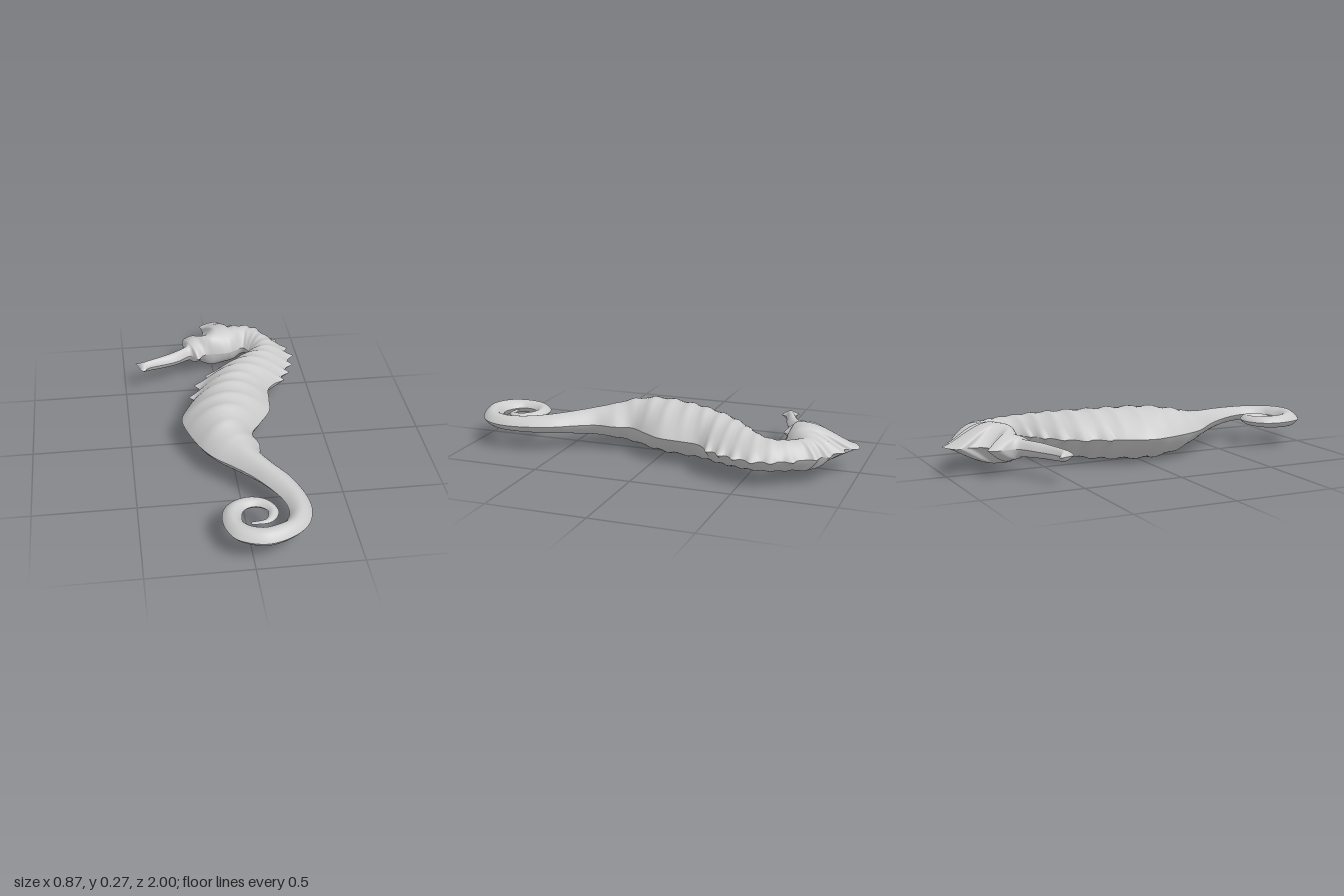
import * as THREE from 'three';

// Cross-section stations: [ventral x, ventral z, dorsal x, dorsal z, half thickness]
const HEAD = [
  [-.41, -.51, -.44, -.60, 0], [-.39, -.51, -.42, -.59, .022], [-.36, -.54, -.38, -.585, .03],
  [-.22, -.58, -.26, -.64, .037], [-.13, -.635, -.165, -.70, .043], [-.09, -.595, -.165, -.79, .055],
  [-.06, -.63, -.14, -.84, .068], [-.03, -.64, -.115, -.815, .08], [0, -.64, -.065, -.82, .09],
  [.03, -.64, -.035, -.89, .098], [.06, -.64, -.045, -.96, .1], [.08, -.645, .02, -1, .1],
  [.10, -.65, .06, -.995, .097], [.12, -.665, .08, -.94, .092], [.14, -.675, .135, -.95, .086],
  [.155, -.685, .165, -.905, .08], [.17, -.69, .225, -.90, .078], [.18, -.68, .24, -.86, .076],
  [.185, -.67, .285, -.85, .077], [.19, -.66, .295, -.81, .075],
];
const BODY = [
  [.195, -.64, .34, -.74, .077], [.18, -.60, .385, -.655, .08], [.12, -.54, .405, -.57, .088],
  [.05, -.49, .385, -.48, .1], [-.03, -.42, .355, -.40, .112], [-.10, -.33, .315, -.325, .122],
  [-.14, -.22, .25, -.25, .13], [-.19, -.13, .235, -.15, .135], [-.235, -.02, .22, -.04, .137],
  [-.22, .09, .16, .06, .135], [-.17, .23, .105, .15, .115], [-.11, .33, .125, .24, .088],
  [-.02, .42, .125, .335, .07],
];
const TAIL = [
  [.06, .51, .175, .435, .058], [.135, .625, .235, .53, .048], [.175, .715, .28, .66, .041],
  [.18, .80, .29, .78, .038], [.145, .86, .255, .885, .038], [.10, .88, .17, .96, .042],
  [.05, .89, .05, .995, .042], [0, .87, -.07, .955, .038], [-.035, .83, -.12, .87, .034],
  [-.035, .78, -.125, .77, .031], [-.015, .745, -.085, .695, .028], [.02, .73, 0, .66, .025],
  [.055, .735, .085, .68, .022], [.085, .76, .13, .74, .019], [.085, .79, .13, .80, .015],
  [.065, .825, .085, .85, .01], [0, .835, 0, .855, 0],
];
const STATIONS = [...HEAD, ...BODY, ...TAIL];
const LAST = STATIONS.length - 1;
const B0 = HEAD.length;
const MID_Y = 0.137;

const edgeCurve = (k) => new THREE.CatmullRomCurve3(
  STATIONS.map((s) => new THREE.Vector3(s[k], s[4], s[k + 1])), false, 'catmullrom', 0.5);
const ventral = edgeCurve(0), dorsal = edgeCurve(2);

// 1 between a and b, fading to 0 over the given distance
const band = (u, a, b, fade) =>
  THREE.MathUtils.smoothstep(u, a - fade, a) * (1 - THREE.MathUtils.smoothstep(u, b, b + fade));

// Point on the upper skin: u runs along the stations, v from belly edge to back edge
function skin(u, v) {
  const a = ventral.getPoint(u / LAST), b = dorsal.getPoint(u / LAST);
  const h = Math.max(0, a.y);
  a.y = b.y = 0;
  const out = b.clone().sub(a).normalize();
  const ridge = Math.pow(0.5 + 0.5 * Math.cos(2 * Math.PI * u), 1.5);
  const t = (1 - Math.cos(Math.PI * v)) / 2;

  // lens section; over the head the bulge sits at the cheek and the crest is thin
  const crest = band(u, 8, 13, 4);
  const s = Math.pow(t, 1 - 0.42 * crest);
  const lens = Math.pow(Math.max(0, 4 * s * (1 - s)), 0.95 + 0.45 * crest);
  const rings = 1 - 0.06 * (1 - ridge) * band(u, B0, B0 + 10, 2);

  // thin spines along the back and chest edges
  const p = a.lerp(b, t);
  const c = 2 * t - 1;
  const spine = c > 0 ? 0.03 * band(u, B0, B0 + 5, 0.8) : -0.04 * band(u, B0 + 2, B0 + 6, 0.8);
  p.addScaledVector(out, spine * ridge * Math.pow(Math.abs(c), 8));
  p.y = h * lens * rings;
  return p;
}

// Normal by finite differences, kept off the sharp edges
function skinNormal(u, v) {
  const e = 0.02;
  const uu = THREE.MathUtils.clamp(u, e, LAST - e), vv = THREE.MathUtils.clamp(v, 0.05, 0.95);
  const du = skin(uu + e, vv).sub(skin(uu - e, vv));
  const dv = skin(uu, vv + e).sub(skin(uu, vv - e));
  return du.cross(dv).normalize();
}

// Upper and mirrored lower skin for a range of stations
function loft(name, from, to, material) {
  const rows = Math.round((to - from) * 12), cols = 24;
  const pos = [], nor = [], idx = [];
  for (const side of [1, -1]) {
    const base = pos.length / 3;
    for (let i = 0; i <= rows; i++) {
      for (let j = 0; j <= cols; j++) {
        const u = from + (to - from) * i / rows, v = j / cols;
        const p = skin(u, v), n = skinNormal(u, v);
        pos.push(p.x, MID_Y + side * p.y, p.z);
        nor.push(n.x, side * n.y, n.z);
        if (i === rows || j === cols) continue;
        const q = base + i * (cols + 1) + j, r = q + cols + 1;
        if (side > 0) idx.push(q, r, q + 1, r, r + 1, q + 1);
        else idx.push(q, q + 1, r, r, q + 1, r + 1);
      }
    }
  }
  const g = new THREE.BufferGeometry();
  g.setAttribute('position', new THREE.Float32BufferAttribute(pos, 3));
  g.setAttribute('normal', new THREE.Float32BufferAttribute(nor, 3));
  g.setIndex(idx);
  const mesh = new THREE.Mesh(g, material);
  mesh.name = name;
  return mesh;
}

export function createModel() {
  const group = new THREE.Group();
  group.name = 'seahorse';
  const material = new THREE.MeshStandardMaterial({ color: 0xcccccc, side: THREE.DoubleSide });
  const tailStart = B0 + BODY.length;
  group.add(
    loft('snout', 0, 4, material),
    loft('head', 4, B0, material),
    loft('body', B0, tailStart, material),
    loft('curledTail', tailStart, LAST, material),
  );
  return group;
}
